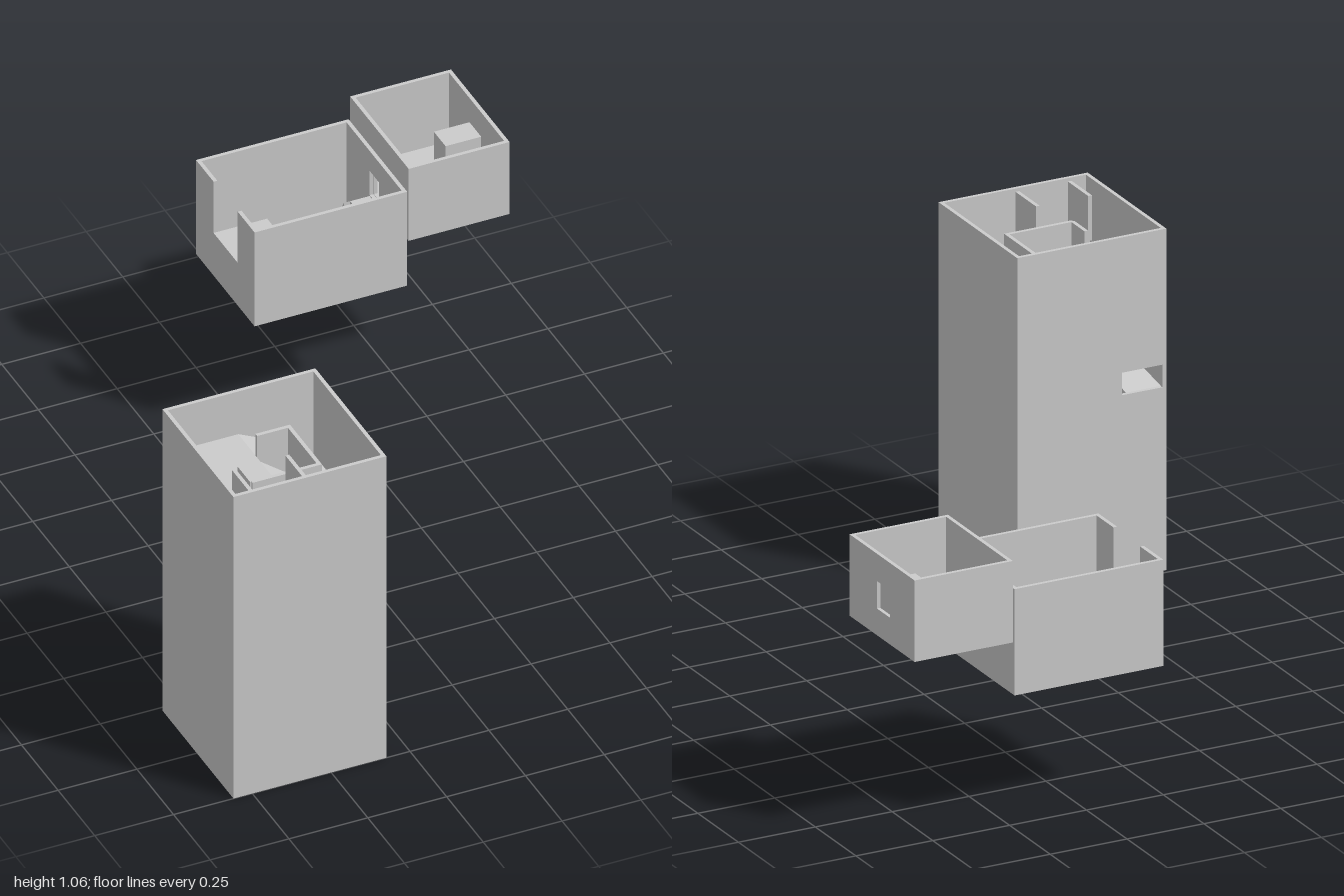
import * as THREE from 'three';

const T = 0.012; // wall thickness
const mat = new THREE.MeshStandardMaterial({ color: 0xcccccc, flatShading: true, side: THREE.DoubleSide });

export function createModel() {
  const model = new THREE.Group();
  const group = (name) => {
    const g = new THREE.Group();
    g.name = name;
    model.add(g);
    return g;
  };
  const add = (parent, name, geo) => {
    const m = new THREE.Mesh(geo, mat);
    m.name = name;
    parent.add(m);
    return m;
  };
  // box given by its limits
  const block = (parent, name, x0, x1, y0, y1, z0, z1) =>
    add(parent, name, new THREE.BoxGeometry(x1 - x0, y1 - y0, z1 - z0)
      .translate((x0 + x1) / 2, (y0 + y1) / 2, (z0 + z1) / 2));
  // thin slab sloping along x or z: height ya at the low coordinate, yb at the high one
  const ramp = (parent, name, x0, x1, z0, z1, axis, ya, yb) => {
    const geo = new THREE.BoxGeometry(x1 - x0, T, z1 - z0).translate((x0 + x1) / 2, -T / 2, (z0 + z1) / 2);
    const p = geo.attributes.position;
    for (let i = 0; i < p.count; i++) {
      const t = axis === 'x' ? (p.getX(i) - x0) / (x1 - x0) : (p.getZ(i) - z0) / (z1 - z0);
      p.setY(i, p.getY(i) + ya + (yb - ya) * t);
    }
    geo.computeVertexNormals();
    return add(parent, name, geo);
  };
  // upright panel from u0 to u1 with rectangular openings [u0, u1, y0, y1]
  const panel = (u0, u1, y0, y1, openings = []) => {
    const rect = (P, a, b, c, d) => {
      const s = new P();
      s.moveTo(a, c); s.lineTo(b, c); s.lineTo(b, d); s.lineTo(a, d); s.closePath();
      return s;
    };
    const shape = rect(THREE.Shape, u0, u1, y0, y1);
    shape.holes = openings.map((o) => rect(THREE.Path, ...o));
    return new THREE.ExtrudeGeometry(shape, { depth: T, bevelEnabled: false });
  };
  const wallX = (parent, name, z, ...args) => add(parent, name, panel(...args).translate(0, 0, z));
  const wallZ = (parent, name, x, ...args) =>
    add(parent, name, panel(...args).rotateY(-Math.PI / 2).translate(x + T, 0, 0));

  // Tower shell, open at top and bottom, with a window at the back
  const tower = group('tower');
  const [tx0, tx1, tz0, tz1, th] = [-0.81, -0.325, 0.515, 1, 1.06];
  wallX(tower, 'towerBackWall', tz0, tx0, tx1, 0, th, [[-0.797, -0.665, 0.57, 0.64]]);
  wallX(tower, 'towerFrontWall', tz1 - T, tx0, tx1, 0, th);
  wallZ(tower, 'towerRightWall', tx0, tz0 + T, tz1 - T, 0, th);
  wallZ(tower, 'towerLeftWall', tx1 - T, tz0 + T, tz1 - T, 0, th);

  // Inner core around which the ramps wind
  const core = group('towerCore');
  const [cy0, cy1] = [0.56, 0.985];
  wallX(core, 'coreFrontWall', 0.85, -0.685, -0.465, cy0, cy1);
  wallX(core, 'coreBackWall', 0.643, -0.575, -0.465, cy0, cy1);
  wallZ(core, 'coreLeftWall', -0.477, 0.65, 0.855, cy0, cy1);
  wallZ(core, 'coreRightWall', -0.69, 0.77, 0.855, cy0, cy1);
  ramp(core, 'coreRamp', -0.575, -0.47, 0.65, 0.85, 'x', 0.9, 0.82);

  // Landings and descending ramps
  const ramps = group('spiralRamps');
  block(ramps, 'topLanding', -0.745, -0.575, 0.89, 0.91, tz0 + T, 0.77);
  block(ramps, 'frontLanding', -0.745, -0.575, 0.89, 0.91, 0.862, tz1 - T);
  ramp(ramps, 'backRamp', -0.575, -0.47, tz0 + T, 0.645, 'x', 0.91, 0.86);
  ramp(ramps, 'backCornerRamp', -0.47, tx1 - T, tz0 + T, 0.645, 'x', 0.86, 0.77);
  ramp(ramps, 'leftRamp', -0.47, tx1 - T, 0.645, 0.862, 'z', 0.77, 0.68);
  ramp(ramps, 'frontRamp', -0.575, tx1 - T, 0.862, tz1 - T, 'x', 0.65, 0.68);
  ramp(ramps, 'rightRamp', tx0 + T, -0.685, tz0 + T, tz1 - T, 'z', 0.57, 0.65);
  for (const x of [-0.751, -0.581]) wallZ(ramps, 'landingPartition', x, 0.862, tz1 - T, 0.91, 1.05);

  // Rough rock ledge along the left wall
  const ledge = new THREE.Shape([
    [-0.34, 0.65], [-0.46, 0.655], [-0.4, 0.69], [-0.375, 0.74], [-0.36, 0.8], [-0.38, 0.86],
    [-0.41, 0.92], [-0.46, 0.9], [-0.49, 0.95], [-0.44, 0.985], [-0.34, 0.985],
  ].map(([x, z]) => new THREE.Vector2(x, -z)));
  add(ramps, 'rockLedge', new THREE.ExtrudeGeometry(ledge, { depth: 0.09, bevelEnabled: false })
    .rotateX(-Math.PI / 2).translate(0, 0.7, 0));

  // Open-topped room: floor and four walls, with openings in the two side walls
  const room = (name, x0, x1, y0, y1, z0, z1, rightOpenings, leftOpenings) => {
    const g = group(name);
    block(g, 'floor', x0, x1, y0, y0 + T, z0, z1);
    wallX(g, 'backWall', z0, x0, x1, y0, y1);
    wallX(g, 'frontWall', z1 - T, x0, x1, y0, y1);
    wallZ(g, 'rightWall', x0, z0 + T, z1 - T, y0, y1, rightOpenings);
    wallZ(g, 'leftWall', x1 - T, z0 + T, z1 - T, y0, y1, leftOpenings);
    return g;
  };
  const door = [[-0.83, -0.765, 0.575, 0.66]];

  // Lower room with a notched entrance, landing and two side ramps
  const lower = room('lowerRoom', 0, 0.484, 0.4, 0.73, -1, -0.6, [], door);
  lower.remove(lower.getObjectByName('rightWall'));
  wallZ(lower, 'entranceSill', 0, -0.88, -0.715, 0.4, 0.55);
  wallZ(lower, 'entranceBackJamb', 0, -1 + T, -0.88, 0.4, 0.73);
  wallZ(lower, 'entranceFrontJamb', 0, -0.715, -0.6 - T, 0.4, 0.73);
  block(lower, 'entranceLanding', T, 0.17, 0.412, 0.55, -0.88, -0.715);
  block(lower, 'doorLanding', 0.41, 0.472, 0.412, 0.572, -0.83, -0.765);
  ramp(lower, 'backSideRamp', 0.39, 0.47, -0.915, -0.83, 'z', 0.425, 0.572);
  ramp(lower, 'frontSideRamp', 0.39, 0.47, -0.765, -0.675, 'z', 0.572, 0.425);
  block(lower, 'smallPost', 0.255, 0.28, 0.412, 0.45, -0.95, -0.925);

  // Upper room with a blocked niche in its outer wall
  const upper = room('upperRoom', 0.485, 0.805, 0.562, 0.815, -0.992, -0.592, door,
    [[-0.84, -0.76, 0.645, 0.73]]);
  block(upper, 'nicheBlock', 0.68, 0.794, 0.574, 0.73, -0.84, -0.76);
  block(upper, 'smallStep', 0.755, 0.793, 0.574, 0.61, -0.89, -0.855);

  return model;
}
